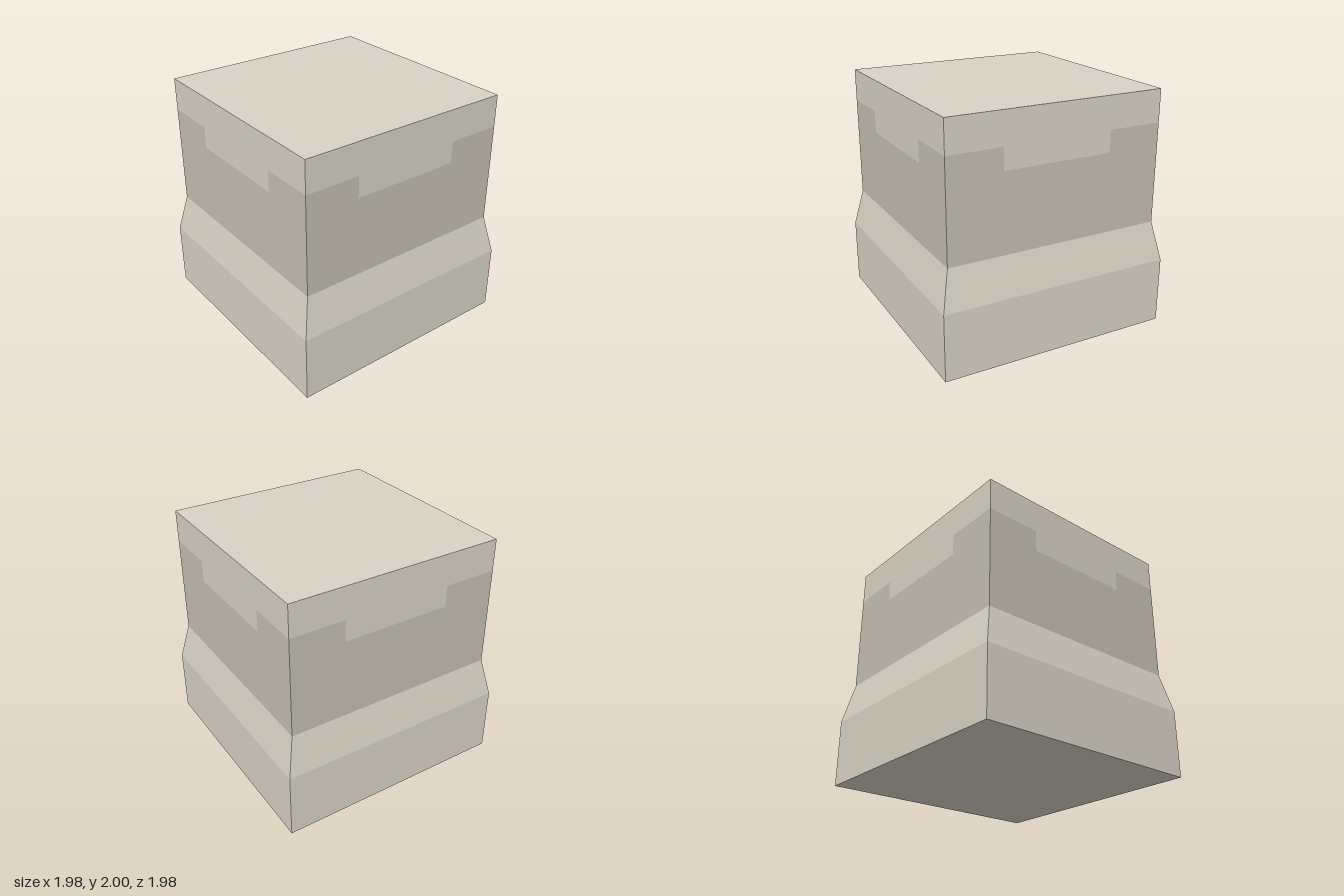
import * as THREE from 'three';

const BASE = 0.99, BODY = 0.92;            // half widths
const SHOULDER = 0.56, NECK = 0.89, TOP = 2;
const TRIM = 1.73, DROP = 1.55, TAB = 0.46; // stepped trim line

const pale = new THREE.MeshStandardMaterial({ color: 0xd8d3c5, flatShading: true });
const dark = new THREE.MeshStandardMaterial({ color: 0xc5c0b3, flatShading: true });

function mesh(name, geometry, material) {
  const m = new THREE.Mesh(geometry, material);
  m.name = name;
  return m;
}

function panel(points) {
  return new THREE.ShapeGeometry(new THREE.Shape(points.map(([x, y]) => new THREE.Vector2(x, y))));
}

export function createModel() {
  const model = new THREE.Group();
  model.name = 'steppedBlock';

  // Square plinth with sloping shoulder
  const r = Math.SQRT2;
  const profile = [[0, 0], [BASE * r, 0], [BASE * r, SHOULDER], [BODY * r, NECK]]
    .map(([x, y]) => new THREE.Vector2(x, y));
  model.add(mesh('plinth', new THREE.LatheGeometry(profile, 4, Math.PI / 4), pale));

  // Stepped line dividing wall and trim, left to right
  const step = [[-BODY, TRIM], [-TAB, TRIM], [-TAB, DROP], [TAB, DROP], [TAB, TRIM], [BODY, TRIM]];
  const wallGeometry = panel([[-BODY, NECK], [BODY, NECK], ...[...step].reverse()]);
  const trimGeometry = panel([...step, [BODY, TOP], [-BODY, TOP]]);

  // Four identical sides: darker wall with a pale trim and hanging tab
  for (let i = 0; i < 4; i++) {
    const side = new THREE.Group();
    side.name = 'side';
    side.rotation.y = i * Math.PI / 2;
    const wall = mesh('wall', wallGeometry, dark);
    const trim = mesh('trim', trimGeometry, pale);
    wall.position.z = trim.position.z = BODY;
    side.add(wall, trim);
    model.add(side);
  }

  // Flat top
  const top = mesh('top', new THREE.PlaneGeometry(2 * BODY, 2 * BODY), pale);
  top.rotation.x = -Math.PI / 2;
  top.position.y = TOP;
  model.add(top);

  return model;
}
